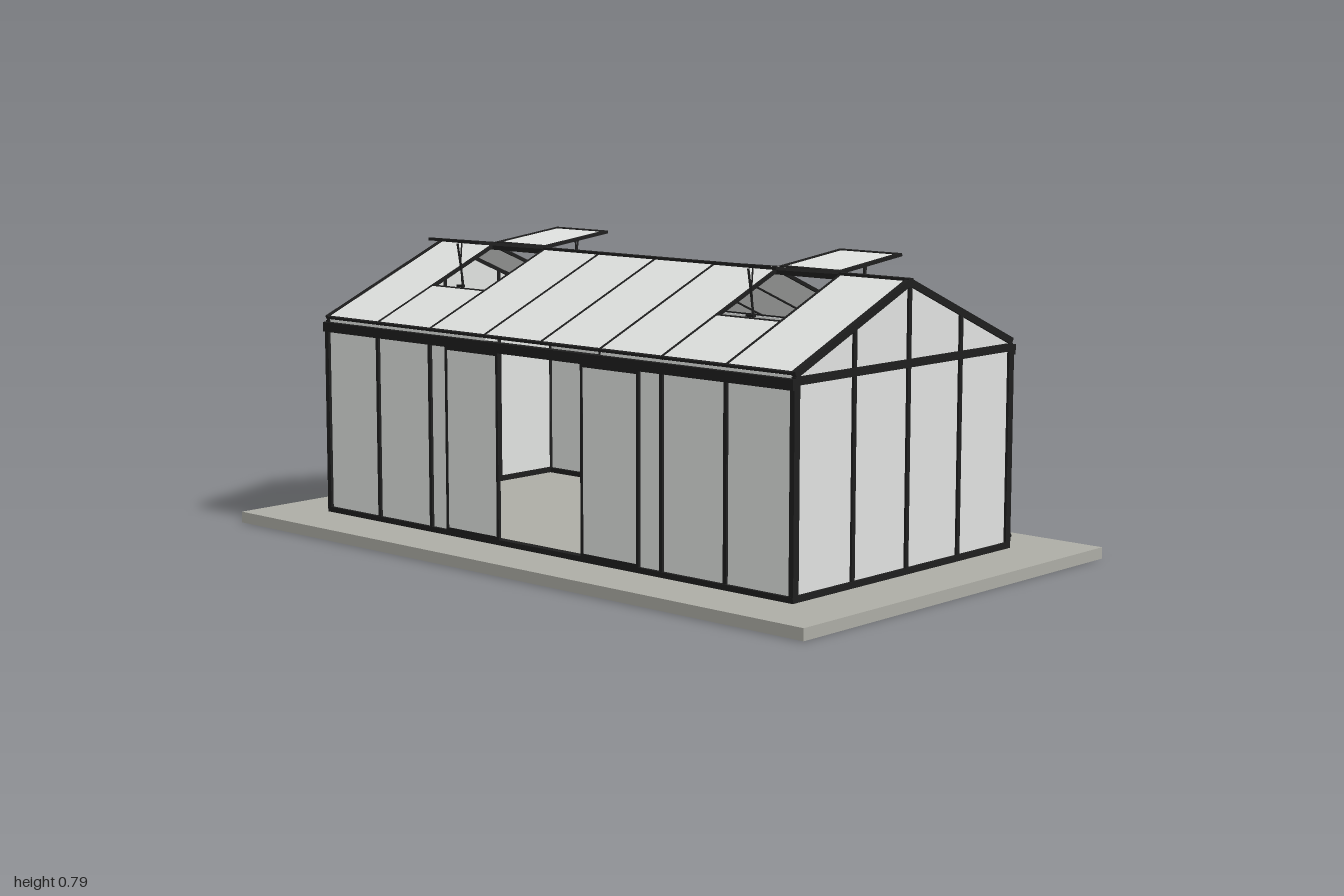
import * as THREE from 'three';

const frame = new THREE.MeshStandardMaterial({ color: 0x1e1e1e });
frame.name = 'blackFrame';
const glass = new THREE.MeshStandardMaterial({ color: 0xe0e2e0 });
glass.name = 'paleGlass';
const stone = new THREE.MeshStandardMaterial({ color: 0xadada5 });
stone.name = 'stoneBase';

const HX = 0.824, HZ = 0.424;            // half length and half width of the walls
const FLOOR = 0.03, EAVE = 0.567, RIDGE = 0.75;
const SLOPE = Math.atan2(RIDGE - EAVE, 0.43);
const RUN = Math.hypot(RIDGE - EAVE, 0.43);
const BAY = HX * 2 / 8;
const roofY = z => RIDGE - Math.abs(z) * Math.tan(SLOPE);

function box(parent, name, mat, w, h, d, x, y, z) {
  const m = new THREE.Mesh(new THREE.BoxGeometry(w, h, d), mat);
  m.name = name;
  m.position.set(x, y, z);
  parent.add(m);
  return m;
}

function rod(parent, name, points, radius) {
  const path = new THREE.CurvePath();
  for (let i = 1; i < points.length; i++) {
    path.add(new THREE.LineCurve3(new THREE.Vector3(...points[i - 1]), new THREE.Vector3(...points[i])));
  }
  const m = new THREE.Mesh(new THREE.TubeGeometry(path, 12, radius, 8), frame);
  m.name = name;
  parent.add(m);
}

// Flat pane with a four-sided border, lying in the xy plane
function framedPane(name, w, h, border, depth) {
  const g = new THREE.Group();
  g.name = name;
  box(g, 'pane', glass, w - border, h - border, depth * 0.5, 0, 0, 0);
  for (const s of [-1, 1]) {
    box(g, 'sideRail', frame, border, h, depth, s * (w - border) / 2, 0, 0);
    box(g, 'crossRail', frame, w, border, depth, 0, s * (h - border) / 2, 0);
  }
  return g;
}

// Long wall; the front one leaves the doorway open
function longWall(name, hasDoors) {
  const g = new THREE.Group();
  g.name = name;
  const h = EAVE - FLOOR;
  for (let i = 0; i < 8; i++) {
    if (hasDoors && (i === 3 || i === 4)) continue;
    box(g, 'wallPane', glass, BAY, h - 0.01, 0.004, -HX + BAY * (i + 0.5), FLOOR + h / 2, HZ);
  }
  for (let i = 0; i <= 8; i++) {
    if (hasDoors && i > 2 && i < 6) continue;
    const corner = i === 0 || i === 8;
    box(g, corner ? 'cornerPost' : 'stud', frame, corner ? 0.014 : 0.01, 0.52, corner ? 0.02 : 0.012,
      -HX + BAY * i, FLOOR + 0.26, HZ + (corner ? 0 : 0.003));
  }
  box(g, 'sill', frame, HX * 2 + 0.012, 0.014, 0.022, 0, FLOOR + 0.007, HZ);
  box(g, 'gutter', frame, HX * 2 + 0.014, 0.026, 0.022, 0, 0.542, HZ + 0.006);
  if (hasDoors) {
    // Sliding doors pushed apart
    for (const s of [-1, 1]) {
      const door = framedPane('slidingDoor', 0.198, 0.485, 0.008, 0.008);
      door.position.set(s * 0.246, 0.287, HZ + 0.011);
      g.add(door);
    }
  }
  return g;
}

// Gable end in the zy plane, facing +x
function gable() {
  const g = new THREE.Group();
  g.name = 'gableEnd';
  const shape = new THREE.Shape([
    new THREE.Vector2(-HZ, FLOOR), new THREE.Vector2(HZ, FLOOR), new THREE.Vector2(HZ, roofY(HZ) - 0.004),
    new THREE.Vector2(0, RIDGE - 0.004), new THREE.Vector2(-HZ, roofY(HZ) - 0.004)]);
  const pane = new THREE.Mesh(new THREE.ExtrudeGeometry(shape, { depth: 0.004, bevelEnabled: false }), glass);
  pane.name = 'gablePane';
  pane.rotation.y = -Math.PI / 2;
  pane.position.x = HX;
  g.add(pane);
  for (const z of [-0.21, 0, 0.21]) {
    const h = roofY(z) - 0.008 - FLOOR;
    box(g, 'gableStud', frame, 0.012, h, 0.012, HX, FLOOR + h / 2, z);
  }
  box(g, 'gableSill', frame, 0.014, 0.016, HZ * 2, HX, FLOOR + 0.008, 0);
  box(g, 'gableTieBeam', frame, 0.014, 0.02, HZ * 2 + 0.01, HX, 0.549, 0);
  return g;
}

// One roof slope descending toward +z, with two open vents
function roofSide(name) {
  const g = new THREE.Group();
  g.name = name;
  const slope = new THREE.Group();
  slope.name = 'roofSlope';
  slope.position.y = RIDGE;
  slope.rotation.x = SLOPE;
  g.add(slope);
  for (let i = 0; i < 8; i++) {
    const x = -HX + BAY * (i + 0.5);
    const vent = i === 1 || i === 6;
    const start = vent ? 0.25 : 0;
    box(slope, 'roofPane', glass, BAY, 0.004, RUN - start, x, 0, (RUN + start) / 2);
    if (!vent) continue;
    box(slope, 'ventSill', frame, BAY, 0.006, 0.006, x, 0, 0.25);
    // Raised vent lid hinged at the ridge
    const hinge = new THREE.Group();
    hinge.name = 'roofVent';
    hinge.position.set(x, RIDGE + 0.004, 0);
    hinge.rotation.x = -0.113;
    const lid = framedPane('ventLid', 0.2, 0.248, 0.013, 0.008);
    lid.rotation.x = -Math.PI / 2;
    lid.position.z = 0.124;
    hinge.add(lid);
    g.add(hinge);
    // Vent opener arms
    rod(g, 'ventArm', [[x, 0.657, 0.212], [x, 0.72, 0.222], [x, 0.775, 0.232]], 0.003);
    rod(g, 'ventArm', [[x + 0.006, 0.66, 0.222], [x + 0.006, 0.73, 0.226], [x + 0.006, 0.776, 0.222]], 0.002);
    box(g, 'armFoot', frame, 0.024, 0.006, 0.01, x, 0.659, 0.222);
  }
  for (let i = 0; i <= 8; i++) {
    const end = i === 0 || i === 8;
    box(slope, end ? 'gableRafter' : 'glazingBar', frame, end ? 0.012 : 0.007, end ? 0.018 : 0.009, RUN,
      -HX + BAY * i, end ? -0.004 : -0.001, RUN / 2);
  }
  box(slope, 'eaveTrim', frame, HX * 2 + 0.012, 0.007, 0.007, 0, -0.001, RUN - 0.003);
  return g;
}

export function createModel() {
  const model = new THREE.Group();
  model.name = 'greenhouse';
  box(model, 'base', stone, 2, FLOOR, 1.2, 0, FLOOR / 2, 0);

  const back = longWall('backWall', false);
  back.rotation.y = Math.PI;
  model.add(longWall('frontWall', true), back);

  const leftGable = gable(), rightGable = gable();
  rightGable.rotation.y = Math.PI;
  model.add(leftGable, rightGable);

  const backRoof = roofSide('backRoof');
  backRoof.rotation.y = Math.PI;
  model.add(roofSide('frontRoof'), backRoof);
  box(model, 'ridgeBeam', frame, HX * 2 + 0.012, 0.018, 0.018, 0, RIDGE - 0.004, 0);

  // Rain pipes at the back corners, with kicked-out feet and clips
  for (const s of [-1, 1]) {
    const x = s * 0.812;
    rod(model, 'rainPipe', [[x, 0.54, -0.434], [x, 0.08, -0.434], [x, 0.054, -0.457]], 0.006);
    for (const y of [0.15, 0.3, 0.45]) box(model, 'pipeClip', frame, 0.018, 0.008, 0.016, x, y, -0.434);
  }
  return model;
}
